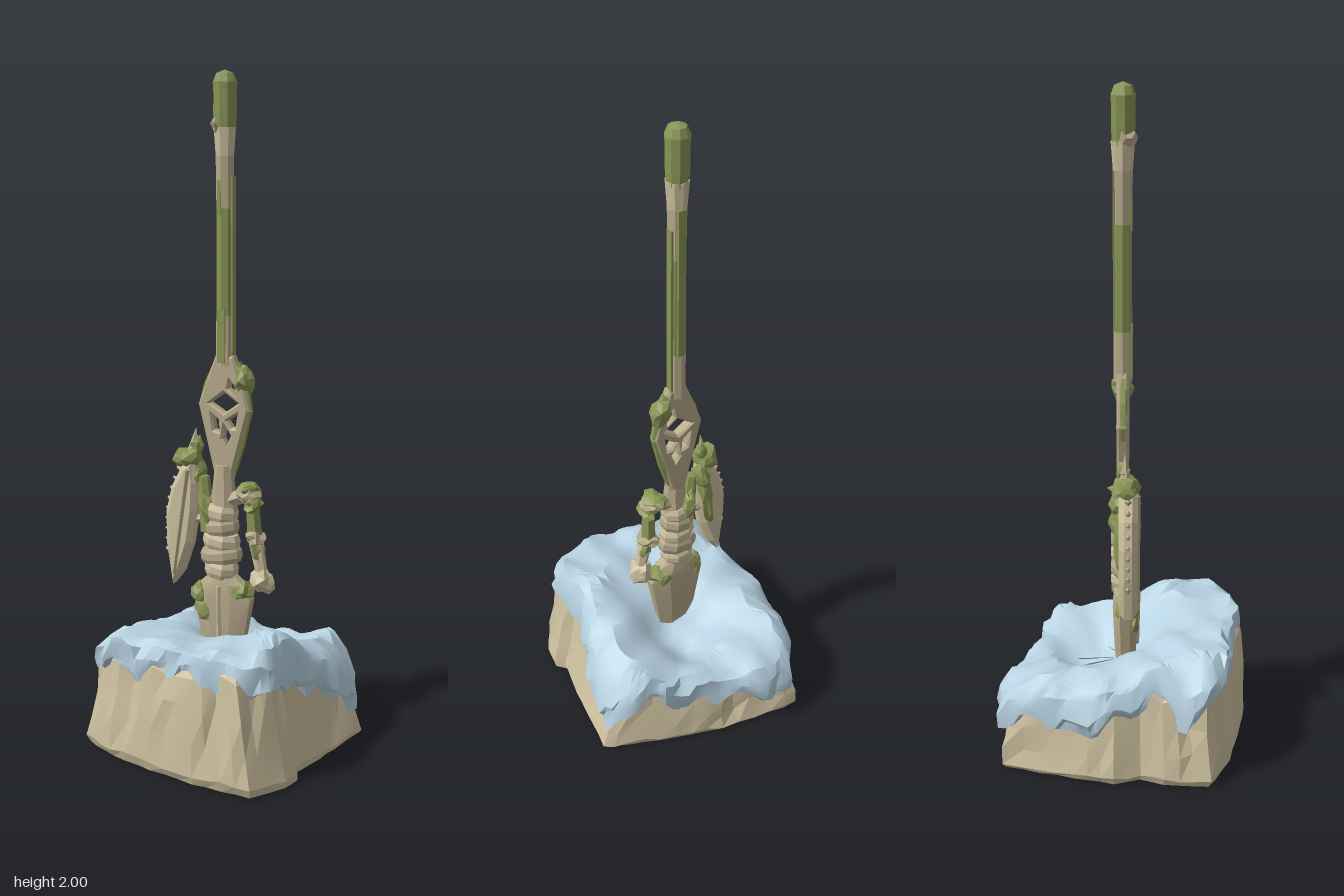
import * as THREE from 'three';
import { toCreasedNormals } from 'three/addons/utils/BufferGeometryUtils.js';

const mat = (name, color) => Object.assign(new THREE.MeshStandardMaterial({ color }), { name });
const V = (x, y, z) => new THREE.Vector3(x, y, z);
const hash = (a, b, c = 0) => {
  const s = Math.sin(a * 127.1 + b * 311.7 + c * 74.7) * 43758.5453;
  return (s - Math.floor(s)) * 2 - 1;
};

// Skin over closed rings running from +x towards +z, lowest ring first, capped at both ends
function loft(rings, crease) {
  const n = rings[0].length, pos = [], idx = [];
  rings.forEach(r => r.forEach(p => pos.push(p.x, p.y, p.z)));
  for (let k = 0; k < rings.length - 1; k++) for (let i = 0; i < n; i++) {
    const a = k * n + i, b = k * n + (i + 1) % n;
    idx.push(a, a + n, b, b, a + n, b + n);
  }
  [0, rings.length - 1].forEach((k, top) => {
    const c = rings[k].reduce((s, p) => s.add(p), V(0, 0, 0)).divideScalar(n);
    const ci = pos.length / 3;
    pos.push(c.x, c.y, c.z);
    for (let i = 0; i < n; i++) {
      const a = k * n + i, b = k * n + (i + 1) % n;
      idx.push(ci, top ? b : a, top ? a : b);
    }
  });
  const g = new THREE.BufferGeometry();
  g.setAttribute('position', new THREE.Float32BufferAttribute(pos, 3));
  g.setIndex(idx);
  return toCreasedNormals(g, crease);
}

// Height of the snow: falls to the back and the right, mounds in front, hollow behind the foot
const bump = (x, z, cx, cz, s) => Math.exp(-((x - cx) ** 2 + (z - cz) ** 2) / s);
const snowY = (x, z) => 0.335 + 0.13 * z - 1.05 * Math.max(0, x - 0.24) - 0.7 * Math.max(0, -x - 0.25)
  - 0.4 * Math.max(0, -z - 0.22)
  + 0.05 * bump(x, z, .18, .14, .016) + 0.012 * bump(x, z, -.17, .2, .02)
  - 0.125 * bump(x, z, .01, -.1, .02)
  + 0.012 * Math.sin(x * 31 + z * 13) * Math.sin(z * 27 - x * 9);

const rockOutline = [[.345, -.03], [.33, .06], [.30, .19], [.325, .22], [.315, .28], [.25, .388], [.06, .383], [-.1, .355],
  [-.25, .32], [-.37, .26], [-.36, .12], [-.335, .05], [-.36, -.03], [-.33, -.15], [-.27, -.37], [-.23, -.37],
  [0, -.33], [.2, -.26], [.34, -.2], [.37, -.18]];
const snowOutline = [[.29, .05], [.26, .18], [.27, .28], [.2, .34], [.05, .35], [-.1, .32], [-.25, .3], [-.31, .27],
  [-.345, .2], [-.3, .1], [-.33, 0], [-.345, -.08], [-.305, -.2], [-.285, -.3], [-.22, -.37], [-.12, -.38],
  [0, -.33], [.1, -.29], [.2, -.265], [.31, -.22], [.345, -.14], [.32, -.03]];

function rockGeometry() {
  // Points between the corners; some of them sink in as fissures
  const pts = rockOutline.flatMap(([x, z], i) => {
    const [u, v] = rockOutline[(i + 1) % rockOutline.length];
    const n = Math.ceil(Math.hypot(u - x, v - z) / .06);
    return Array.from({ length: n }, (_, j) => [x + (u - x) * j / n, z + (v - z) * j / n, j > 0]);
  });
  const ring = (t, s, wobble, seed) => pts.map(([x, z, between], i) => {
    const crack = between && hash(i, 9) > .4 && t > .2 && t < .95 ? .045 : 0;
    const f = s * (1 + wobble * hash(i, seed) - crack);
    const px = x * f * (x > 0 ? 1 - .24 * t : 1 - .13 * t), pz = z * f * (1 - .07 * t);
    return V(px, t * (snowY(px, pz) - .035) + (t > 0 && t < 1 ? .02 * hash(i, seed, 3) * Math.min(1, t * 4) : 0), pz);
  });
  return loft([ring(0, .965, .008, 1), ring(.08, 1, .004, 2), ring(.34, 1, .02, 3), ring(.64, 1, .022, 4),
    ring(.92, .99, .012, 5), ring(1, .92, .01, 6), ring(1, .6, 0, 7), ring(1, .3, 0, 8)], .2);
}

function snowGeometry() {
  const curve = new THREE.CatmullRomCurve3(snowOutline.map(([x, z]) => V(x, 0, z)), true);
  const pts = curve.getSpacedPoints(96).slice(0, 96);
  // scale, depth under the surface, roughness
  const levels = [[.86, .075, 0], [.97, .1, .02], [1.0, .08, .025], [1.005, .045, .028], [.98, .014, .026],
    [.92, 0, .02], [.83, 0, .015], [.7, 0, .006], [.55, 0, 0], [.42, 0, 0], [.3, 0, 0], [.2, 0, 0], [.1, 0, 0]];
  return loft(levels.map(([s, d, r], k) => pts.map((p, i) => {
    const lobe = d > 0 ? .014 * Math.sin(i * 1.05 + Math.sin(i * .4) * 2) : 0;
    const f = s * (1 + r * hash(i >> 1, k) + lobe), x = p.x * f, z = p.z * f;
    const drip = d * (1 + .22 * Math.sin(i * .52) + .2 * Math.sin(i * 1.15 + 1));
    return V(x, snowY(x, z) - drip + .35 * r * hash(i >> 1, k, 5), z);
  })), .55);
}

// Angular lump, used for moss and worn stone
function lumpGeometry(seed, rough = .24) {
  const g = new THREE.IcosahedronGeometry(1, 1), p = g.attributes.position, v = V(0, 0, 0);
  for (let i = 0; i < p.count; i++) {
    v.fromBufferAttribute(p, i);
    const q = [v.x, v.y, v.z].map(c => Math.round(c * 100) / 100 + 0);
    v.multiplyScalar(1 + rough * hash(q[0] + seed, q[1], q[2]));
    p.setXYZ(i, v.x, v.y, v.z);
  }
  g.computeVertexNormals();
  return g;
}

export function createModel() {
  const model = new THREE.Group();
  const stone = mat('paleStone', 0xcdc09f), worn = mat('wornStone', 0xb7aa8b);
  const moss = mat('moss', 0x8a9656), snow = mat('snow', 0xb8d3e2);
  const add = (name, geo, material, x = 0, y = 0, z = 0) => {
    const m = new THREE.Mesh(geo, material);
    m.name = name;
    m.position.set(x, y, z);
    model.add(m);
    return m;
  };
  const lump = (name, material, x, y, z, sx, sy, sz, tilt = 0) => {
    const m = add(name, lumpGeometry(x * 50 + y * 9), material, x, y, z);
    m.scale.set(sx, sy, sz);
    m.rotation.z = tilt;
  };
  // Faceted bar between two points, radius r0 at the start and r1 at the end
  const bar = (name, material, a, b, r0, r1, sides = 6) => {
    const p = V(...a), q = V(...b), d = q.clone().sub(p);
    const g = toCreasedNormals(new THREE.CylinderGeometry(r1, r0, d.length(), sides), .3);
    const m = add(name, g, material, ...p.clone().add(q).multiplyScalar(.5));
    m.quaternion.setFromUnitVectors(V(0, 1, 0), d.normalize());
  };
  // Bevelled plate cut from an outline with holes
  const plate = (name, material, outline, holes, depth, bevel, z) => {
    const pts = o => o.map(([x, y]) => new THREE.Vector2(x, y));
    const s = new THREE.Shape(pts(outline));
    s.holes = holes.map(h => new THREE.Path(pts(h)));
    const g = new THREE.ExtrudeGeometry(s, { depth, bevelSize: bevel, bevelOffset: -bevel,
      bevelThickness: bevel, bevelSegments: 1 });
    g.translate(0, 0, -depth / 2);
    add(name, g, material, 0, 0, z);
  };

  // Base
  add('rockBase', rockGeometry(), stone);
  add('snowCover', snowGeometry(), snow);

  // Tapered foot sunk in the snow
  const cx = -.025;
  const section = (y, w, d, x = cx) => Array.from({ length: 8 }, (_, i) => {
    const a = (i + .5) * Math.PI / 4;
    return V(x + Math.cos(a) * w * 1.05, y, Math.sin(a) * d * 1.05);
  });
  add('foot', loft([section(.14, .045, .02), section(.3, .072, .034), section(.44, .098, .04),
    section(.485, .072, .038), section(.52, .03, .028)], .3), worn);
  lump('footMoss', moss, .035, .465, -.004, .033, .03, .042, -.3);
  lump('footMoss', moss, -.095, .445, .006, .03, .035, .036, .3);
  lump('footMoss', moss, -.075, .4, .028, .035, .035, .014);
  bar('footRidge', stone, [cx, .3, .03], [cx, .48, .036], .012, .01, 4);

  // Banded trunk
  for (let i = 0; i < 5; i++) {
    const y = .525 + i * .044, w = [.05, .064, .056, .053, .05][i];
    const band = add('trunkBand', loft([section(-.024, w * .88, .038, 0), section(-.008, w, .045, 0),
      section(.012, w, .045, 0), section(.028, w * .85, .038, 0)], .3), i % 2 ? worn : stone, cx - .008, y, 0);
    band.rotation.z = (i % 2 ? 1 : -1) * .14;
  }
  lump('chestMoss', moss, -.07, .71, .006, .026, .06, .04, .3);
  lump('backMoss', moss, -.055, .715, -.028, .03, .045, .022);
  add('neck', loft([section(.71, .042, .036), section(.76, .036, .03), section(.85, .026, .024)], .3), worn);

  // Arm on the left with a clenched fist
  bar('collar', worn, [0, .745, 0], [.06, .77, 0], .025, .024);
  lump('shoulder', worn, .055, .765, 0, .036, .03, .042);
  lump('shoulderMoss', moss, .055, .785, -.006, .036, .018, .044);
  lump('shoulderMoss', moss, .075, .74, .004, .026, .024, .042);
  bar('upperArm', moss, [.07, .75, 0], [.075, .645, -.005], .021, .025);
  lump('elbow', worn, .078, .635, -.005, .03, .025, .036);
  bar('forearm', stone, [.08, .635, 0], [.1, .535, 0], .023, .018);
  lump('forearmMoss', moss, .085, .6, .002, .022, .035, .028, .2);
  lump('fist', stone, .105, .505, 0, .035, .042, .034);

  // Arm on the right, grown over with moss
  bar('mossyArm', moss, [-.045, .75, -.01], [-.085, .7, .005], .024, .022);
  bar('mossyForearm', moss, [-.09, .81, .005], [-.075, .64, .005], .018, .024);
  bar('shieldGrip', worn, [-.06, .68, 0], [-.15, .67, .005], .015, .015);

  // Leaf-shaped shield with a serrated rim
  const shield = [[-.115, .86], [-.155, .84], [-.192, .77], [-.211, .69], [-.21, .59], [-.19, .46], [-.155, .505],
    [-.122, .6], [-.107, .7], [-.102, .79]];
  plate('shield', stone, [...shield].reverse(), [], .024, .016, .01);
  bar('shieldRib', worn, [-.178, .5, .036], [-.13, .83, .036], .008, .01, 4);
  for (let i = 0; i < 9; i++) {
    const t = i / 8, y = .82 - t * .26, x = -.166 - .04 * Math.sin(Math.min(1, t * 1.6) * Math.PI / 2);
    bar('thorn', worn, [x + .01, y, .01], [x - .014, y + .01, .01], .016, .003, 4);
  }
  lump('shieldMoss', moss, -.142, .862, .005, .044, .036, .036, .2);
  lump('shieldMoss', moss, -.118, .8, -.008, .026, .055, .034, -.1);
  lump('shieldBackMoss', moss, -.135, .71, -.014, .022, .1, .02, -.15);
  bar('shieldTip', worn, [-.13, .87, 0], [-.118, .955, 0], .022, .001, 5);
  lump('shieldTipMoss', moss, -.118, .9, -.004, .018, .03, .02);

  // Pierced diamond head
  plate('piercedHead', worn, [[-.05, .8], [0, .8], [.027, .9], [.06, 1.02], [.045, 1.08], [.008, 1.18], [-.05, 1.18],
    [-.085, 1.09], [-.107, 1.03], [-.082, .93]],
  [[[-.07, 1.035], [-.022, 1.07], [.024, 1.04], [-.022, 1.008]],
    [[-.064, 1.005], [-.04, .985], [-.038, .95], [-.055, .955]],
    [[.022, 1.01], [-.012, .985], [.002, .965], [.015, .965]],
    [[-.022, .975], [0, .94], [-.013, .91], [-.026, .93]],
    [[.015, 1.065], [-.008, 1.083], [-.004, 1.11], [.012, 1.09]]], .022, .007, -.008);
  // Moss along both edges of the head
  const rim = (z, r, list) => list.slice(1).forEach((p, i) =>
    bar('headMoss', moss, [...list[i], z], [...p, z], r, r));
  rim(-.006, .014, [[-.04, 1.17], [-.078, 1.09], [-.095, 1.03], [-.074, .95]]);
  rim(-.01, .015, [[.012, 1.16], [.036, 1.1], [.05, 1.02], [.024, .91], [-.002, .83]]);
  lump('headMossClump', moss, .034, 1.11, -.012, .03, .045, .034, .2);

  // Long shaft in bands of stone and moss
  const shaft = [[1.15, 1.3, .028, .027, worn], [1.3, 1.61, .027, .026, moss],
    [1.61, 1.76, .026, .028, worn], [1.76, 1.84, .028, .034, stone]];
  shaft.forEach(([y0, y1, r0, r1, m]) => bar('shaft', m, [cx, y0, -.008], [cx, y1, -.008], r0, r1, 8));
  // Moss strips creeping up the shaft
  const strip = (x, y, z, w, h, d) => add('shaftMoss', new THREE.BoxGeometry(w, h, d), moss, x, y, z);
  strip(cx, 1.24, .017, .024, .16, .007);
  strip(cx, 1.53, -.033, .024, .46, .007);
  strip(cx + .025, 1.43, -.012, .007, .54, .024);
  strip(cx - .006, 1.64, .016, .012, .1, .007);

  // Mossy rounded pommel
  const knob = new THREE.LatheGeometry([[0, 1.82], [.031, 1.825], [.035, 1.88], [.034, 1.93], [.036, 1.965], [.026, 1.99], [0, 2]]
    .map(([x, y]) => new THREE.Vector2(x, y)), 9);
  add('pommel', toCreasedNormals(knob, .3), moss, cx, 0, -.008);
  lump('pommelStone', worn, cx - .014, 1.85, 0, .02, .03, .028);

  return model;
}
